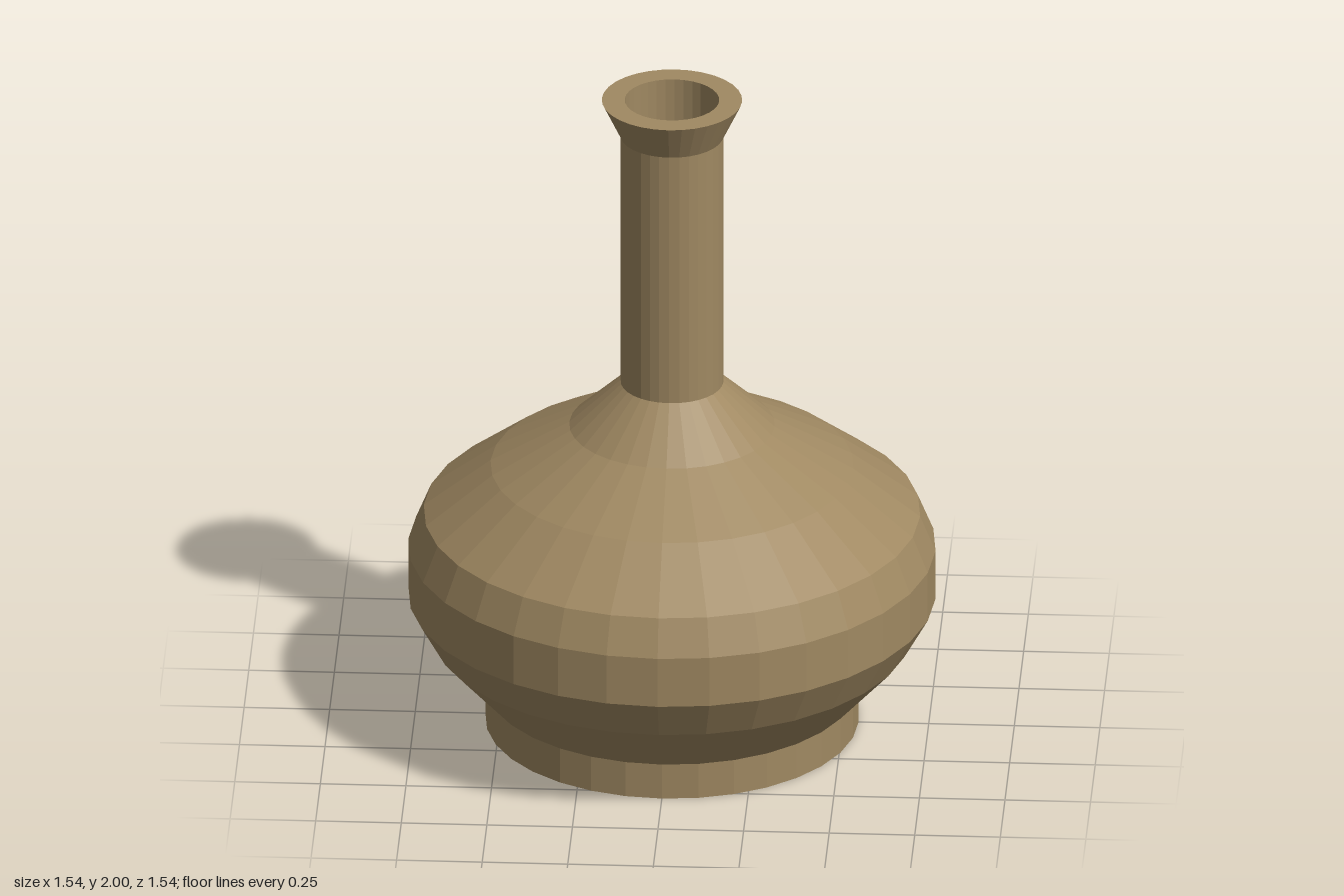
import * as THREE from 'three';

const SIDES = 32;
const material = new THREE.MeshStandardMaterial({ color: 0xa08962, flatShading: true });

// Turned part from [radius, height] points, running up the outside
function turned(name, points) {
  const profile = points.map(([r, y]) => new THREE.Vector2(r, y));
  const mesh = new THREE.Mesh(new THREE.LatheGeometry(profile, SIDES), material);
  mesh.name = name;
  return mesh;
}

export function createModel() {
  const vase = new THREE.Group();
  vase.name = 'vase';

  // Straight foot ring with a closed underside
  vase.add(turned('foot', [[0, 0], [0.545, 0], [0.545, 0.11]]));

  // Wide faceted belly and sloping shoulder
  vase.add(turned('body', [
    [0.545, 0.11], [0.7, 0.28], [0.77, 0.405], [0.77, 0.56],
    [0.725, 0.67], [0.53, 0.82], [0.3, 0.95], [0.15, 1.09],
  ]));

  // Slim neck
  vase.add(turned('neck', [[0.15, 1.09], [0.15, 1.885]]));

  // Flared lip with a flat rim
  vase.add(turned('lip', [[0.15, 1.885], [0.205, 2], [0.138, 2]]));

  // Bore inside the neck, closed at the bottom
  vase.add(turned('bore', [[0.138, 2], [0.138, 1.05], [0, 1.05]]));

  return vase;
}
